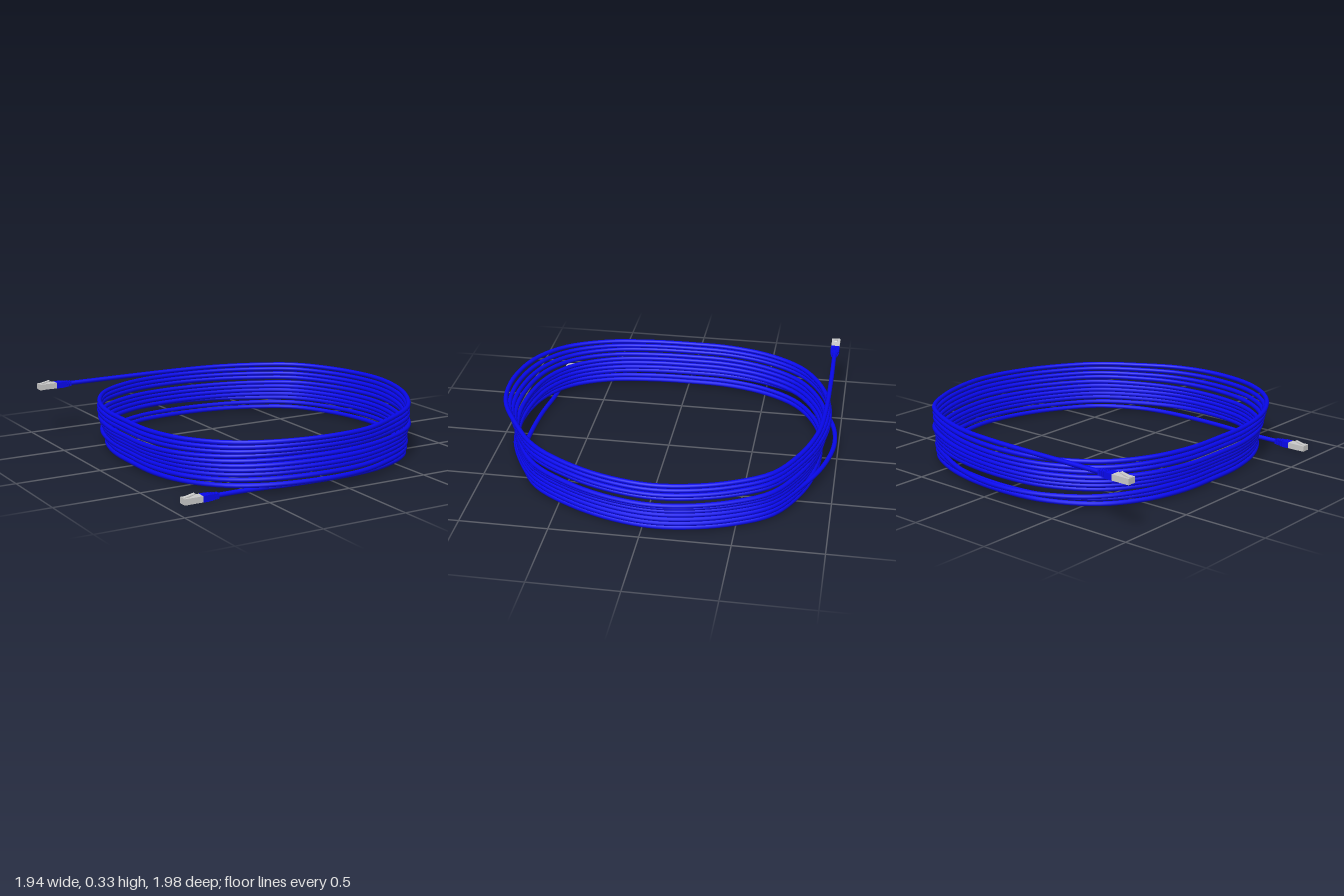
import * as THREE from 'three';

const blue = new THREE.MeshStandardMaterial({ color: 0x0808ee });
const grey = new THREE.MeshStandardMaterial({ color: 0xcccccc });
const CABLE_R = 0.0135;

// One turn seen from above as [x, z]: front left, right side, back, left side
const TURN = [
  [-0.76, 0.5], [-0.62, 0.72], [-0.42, 0.85], [-0.13, 0.91], [0.15, 0.895], [0.4, 0.805],
  [0.63, 0.66], [0.8, 0.42], [0.9, 0.18], [0.94, -0.05], [0.92, -0.25], [0.85, -0.47],
  [0.72, -0.68], [0.5, -0.81], [0.25, -0.885], [-0.05, -0.91], [-0.33, -0.87],
  [-0.6, -0.72], [-0.75, -0.5], [-0.82, -0.25], [-0.83, 0], [-0.82, 0.25],
];
// Height and reach of each turn
const HEIGHT = [0.02, 0.05, 0.08, 0.105, 0.13, 0.155, 0.18, 0.215, 0.24, 0.27, 0.3];
const FRONT = [0.845, 0.915, 0.905, 0.89, 0.9, 0.9, 0.89, 0.91, 0.93, 0.95, 0.975];
const BACK = [0.9, 0.9, 0.98, 0.9, 0.91, 0.92, 0.92, 0.94, 0.94, 0.93, 0.92];
const RIGHT = [0.91, 0.92, 0.925, 0.92, 0.92, 0.93, 0.95, 0.93, 0.94, 0.94, 0.945];
const LEFT = [0.8, 0.8, 0.81, 0.81, 0.82, 0.83, 0.84, 0.84, 0.84, 0.84, 0.84];
// Share of the climb to the next level still missing at the first points of a turn
const CLIMB = [0.75, 0.4, 0.12];

function cablePath() {
  const pts = [];
  const last = HEIGHT.length - 1;
  const add = (x, y, z) => pts.push(new THREE.Vector3(x, y, z));
  // Straight lead from the lower plug
  [[-0.76, 0.8], [-0.5, 0.803], [-0.25, 0.832], [0, 0.842], [0.22, 0.83]].forEach(([x, z]) => add(x, HEIGHT[0], z));
  for (let i = 0; i <= last; i++) {
    TURN.forEach(([x, z], k) => {
      if (i === 0 && k < 5) return;
      if (i === last && k > 14) return;
      const left = LEFT[k < 5 ? Math.max(i - 1, 0) : i];
      const sx = x > 0 ? RIGHT[i] / 0.94 : left / 0.83;
      const reach = z > 0 ? FRONT[k > 18 ? Math.min(i + 1, last) : i] : BACK[i];
      const blend = THREE.MathUtils.clamp((0.55 - x) / 0.5, 0, 1);
      const sz = 1 + (reach / 0.91 - 1) * blend;
      const drop = i > 0 && k < CLIMB.length ? CLIMB[k] * (HEIGHT[i] - HEIGHT[i - 1]) : 0;
      add(x * sx, HEIGHT[i] - drop, z * sz);
    });
  }
  // Straight lead to the upper plug
  [[0, -0.917], [-0.4, -0.924], [-0.82, -0.922]].forEach(([x, z]) => add(x, HEIGHT[last], z));
  return new THREE.CatmullRomCurve3(pts, false, 'centripetal');
}

function box(name, parent, mat, size, pos) {
  const m = new THREE.Mesh(new THREE.BoxGeometry(...size), mat);
  m.name = name;
  m.position.set(...pos);
  parent.add(m);
  return m;
}

// Plug pointing to -x, its tip at the local origin
function makePlug(name) {
  const g = new THREE.Group();
  g.name = name;
  box('plugBody', g, grey, [0.11, 0.034, 0.052], [0.055, 0, 0]);
  for (let i = 0; i < 8; i++) {
    box('contact', g, grey, [0.022, 0.003, 0.003], [0.013, -0.0175, (i - 3.5) * 0.0056]);
  }
  // Springy latch rising towards the cable
  const s = new THREE.Shape();
  [[0.004, 0.014], [0.004, 0.019], [0.07, 0.033], [0.074, 0.029], [0.022, 0.014]].forEach(([x, y], i) =>
    i ? s.lineTo(x, y) : s.moveTo(x, y));
  const latchGeo = new THREE.ExtrudeGeometry(s, { depth: 0.022, bevelEnabled: false });
  const latch = new THREE.Mesh(latchGeo.translate(0, 0, -0.011), grey);
  latch.name = 'latch';
  g.add(latch);
  // Strain relief: solid block, core and shrinking ribs
  box('bootBlock', g, blue, [0.042, 0.036, 0.054], [0.13, 0, 0]);
  const core = new THREE.Mesh(new THREE.CylinderGeometry(0.0145, 0.017, 0.06, 12), blue);
  core.name = 'bootCore';
  core.rotation.z = -Math.PI / 2;
  core.position.x = 0.18;
  g.add(core);
  for (let i = 0; i < 4; i++) {
    box('bootRib', g, blue, [0.009, 0.035 - i * 0.002, 0.05 - i * 0.005], [0.16 + i * 0.015, 0, 0]);
  }
  return g;
}

export function createModel() {
  const model = new THREE.Group();
  model.name = 'coiledNetworkCable';

  const path = cablePath();
  path.arcLengthDivisions = 4000;
  const cable = new THREE.Mesh(new THREE.TubeGeometry(path, 1100, CABLE_R, 10, false), blue);
  cable.name = 'cable';
  model.add(cable);

  const lower = makePlug('lowerPlug');
  lower.position.set(-0.905, 0.02, 0.8);
  const upper = makePlug('upperPlug');
  upper.position.set(-0.973, 0.3, -0.922);
  model.add(lower, upper);
  return model;
}
